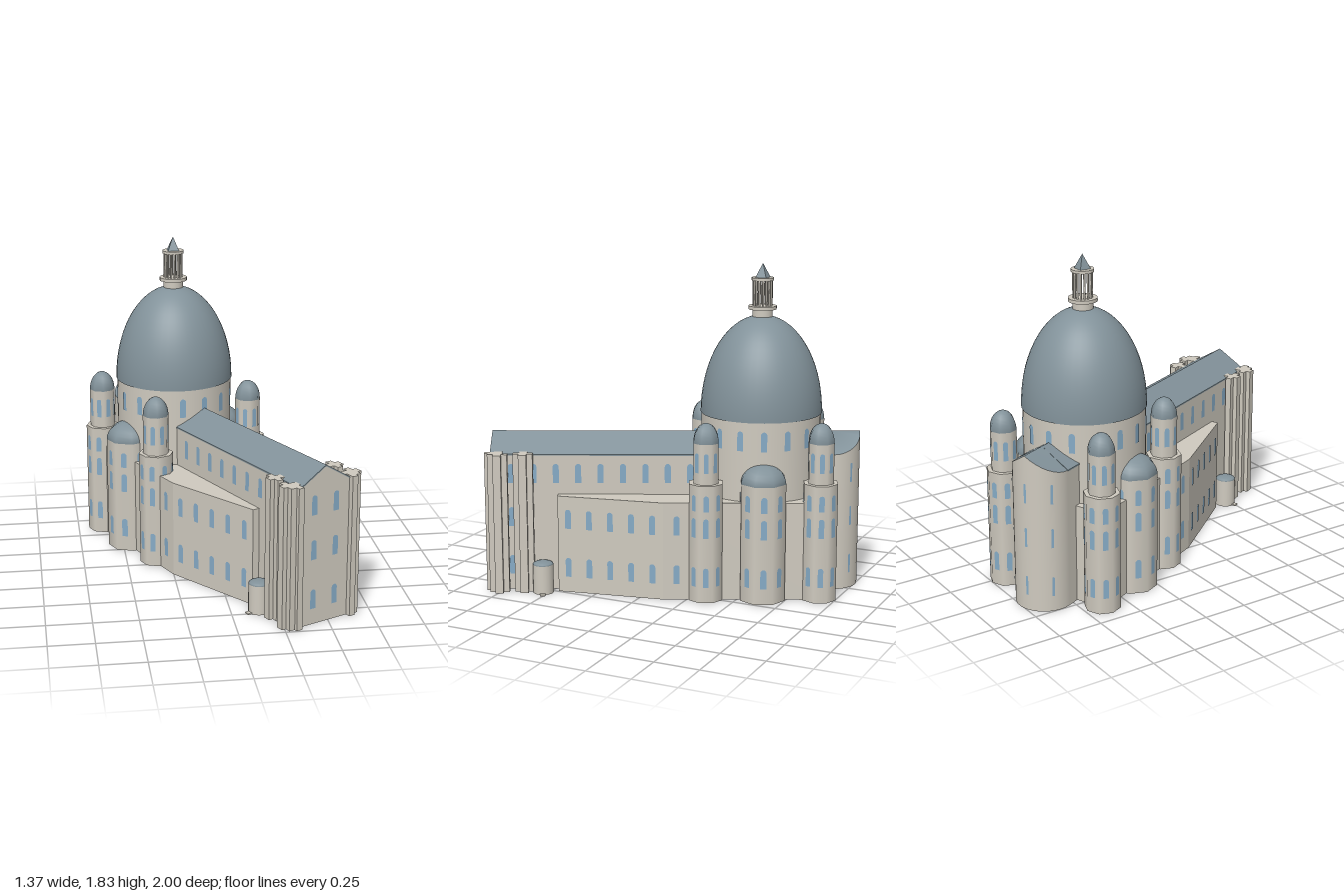
import * as THREE from 'three';

const stone = new THREE.MeshStandardMaterial({ color: 0xcfcabf });
const roof = new THREE.MeshStandardMaterial({ color: 0x82929a });
const glass = new THREE.MeshStandardMaterial({ color: 0x86abc6 });

const EAVE = 0.783, RIDGE = 0.885, HALF = 0.16, FRONT = 1.515, BACK = -0.4;

export function createModel() {
  const model = new THREE.Group();
  // Building frame: dome at the origin, nave along local +z, turned on the plot
  const church = new THREE.Group();
  church.name = 'church';
  church.position.set(-0.17, 0, -0.485);
  church.rotation.y = 0.436;
  model.add(church);

  function add(name, geo, mat, x = 0, y = 0, z = 0, parent = church) {
    const mesh = new THREE.Mesh(geo, mat);
    mesh.name = name;
    mesh.position.set(x, y, z);
    parent.add(mesh);
    return mesh;
  }
  // Cylinder from y0 to y1
  function column(name, r, y0, y1, sides, x = 0, z = 0, parent = church) {
    const geo = new THREE.CylinderGeometry(r, r, y1 - y0, sides);
    if (sides === 8) geo.rotateY(Math.PI / 8);
    return add(name, geo, stone, x, (y0 + y1) / 2, z, parent);
  }
  // Half ellipsoid standing on y
  function cupola(name, r, h, y, sides, rings, x = 0, z = 0, parent = church) {
    const geo = new THREE.SphereGeometry(r, sides, rings, 0, Math.PI * 2, 0, Math.PI / 2);
    geo.scale(1, h / r, 1);
    if (sides === 8) geo.rotateY(Math.PI / 8);
    return add(name, geo, roof, x, y, z, parent);
  }
  // Round-headed window with its sill at y, facing angle a (0 = local +z)
  function windowAt(x, y, z, a, h = 0.11, w = 0.034, parent = church) {
    const s = new THREE.Shape();
    s.moveTo(-w / 2, 0).lineTo(w / 2, 0).lineTo(w / 2, h - w / 2);
    s.absarc(0, h - w / 2, w / 2, 0, Math.PI, false);
    s.closePath();
    const m = add('window', new THREE.ShapeGeometry(s, 5), glass,
      x + Math.sin(a) * 0.003, y, z + Math.cos(a) * 0.003, parent);
    m.rotation.y = a;
  }
  // Windows on every face of a polygonal tower
  function ringWindows(n, apothem, y, h, w, parent) {
    for (let i = 0; i < n; i++) {
      const a = (i / n) * Math.PI * 2;
      windowAt(Math.sin(a) * apothem, y, Math.cos(a) * apothem, a, h, w, parent);
    }
  }
  function polygon(points) {
    return new THREE.Shape(points.map(([x, y]) => new THREE.Vector2(x, y)));
  }

  // Nave with gabled roof
  const naveBody = new THREE.ExtrudeGeometry(
    polygon([[-HALF, 0], [HALF, 0], [HALF, EAVE], [0, RIDGE - 0.004], [-HALF, EAVE]]),
    { depth: FRONT - BACK, bevelEnabled: false });
  add('nave', naveBody, stone, 0, 0, BACK);
  const naveRoof = new THREE.ExtrudeGeometry(
    polygon([[-HALF - 0.003, EAVE - 0.006], [0, RIDGE - 0.008], [HALF + 0.003, EAVE - 0.006],
      [HALF + 0.003, EAVE + 0.002], [0, RIDGE], [-HALF - 0.003, EAVE + 0.002]]),
    { depth: FRONT - BACK + 0.002, bevelEnabled: false });
  add('naveRoof', naveRoof, roof, 0, 0, BACK);

  // Round apse whose top follows the gable
  const apse = new THREE.CylinderGeometry(HALF, HALF, 1, 32);
  apse.translate(0, 0.5, 0);
  const p = apse.attributes.position;
  for (let i = 0; i < p.count; i++) {
    if (p.getY(i) > 0.5) p.setY(i, RIDGE - (Math.abs(p.getX(i)) / HALF) * (RIDGE - EAVE));
  }
  const capNormals = apse.attributes.normal;
  const capStart = apse.groups[1].start, capCount = apse.groups[1].count;
  const slope = new THREE.Vector3(RIDGE - EAVE, HALF, 0).normalize();
  for (let i = capStart; i < capStart + capCount; i++) {
    const v = apse.index.getX(i);
    const side = Math.abs(p.getX(v)) < 1e-4 ? 0 : Math.sign(p.getX(v));
    capNormals.setXYZ(v, slope.x * side, slope.y, 0);
  }
  add('apse', apse, [stone, roof, stone], 0, 0, BACK);
  for (const a of [-0.9, 0, 0.9]) {
    for (const y of [0.09, 0.37, 0.62]) {
      windowAt(Math.sin(a) * HALF, y, BACK - Math.cos(a) * HALF, Math.PI - a, 0.11, 0.014);
    }
  }

  // Low crossing and tapering aisles
  const aislePlan = polygon([[-0.345, 0.33], [-0.345, -0.55], [-0.2, -1.14],
    [0.2, -1.14], [0.345, -0.55], [0.345, 0.33]]);
  const aisles = new THREE.ExtrudeGeometry(aislePlan, { depth: 0.555, bevelEnabled: false });
  aisles.rotateX(-Math.PI / 2);
  add('aisles', aisles, stone);

  // Everything mirrored on the two long sides
  for (const s of [-1, 1]) {
    const sideAngle = s * Math.PI / 2;
    // Aisle and clerestory windows
    const taper = s * (Math.PI / 2 - Math.atan2(0.145, 0.59));
    for (const y of [0.09, 0.37]) {
      for (let i = 0; i < 5; i++) {
        const t = 0.1 + i * 0.2;
        windowAt(s * (0.345 - 0.145 * t), y, 0.55 + 0.59 * t, taper);
      }
      windowAt(s * 0.345, y, 0.475, sideAngle);
    }
    for (let i = 0; i < 9; i++) windowAt(s * HALF, 0.62, 0.4 + i * 0.125, sideAngle);
    for (const y of [0.09, 0.37]) windowAt(s * HALF, y, 1.4, sideAngle);
    // Facade windows
    for (const y of [0.09, 0.37, 0.62]) windowAt(s * 0.07, y, FRONT, 0);

    // Cross-shaped buttresses near the facade
    for (const [z, out] of [[1.47, 0.25], [1.33, 0.237]]) {
      const h = 0.797;
      add('buttress', new THREE.BoxGeometry(out - 0.14, h, 0.045), stone, s * (out + 0.14) / 2, h / 2, z);
      add('buttressWing', new THREE.BoxGeometry(0.035, h, 0.11), stone, s * (out - 0.043), h / 2, z);
    }
    add('facadePier', new THREE.BoxGeometry(0.035, 0.797, 0.1), stone, s * 0.173, 0.3985, 1.495);

    // Small round porch with doorstep
    column('porch', 0.058, 0, 0.165, 20, s * 0.215, 1.225);
    cupola('porchRoof', 0.058, 0.018, 0.165, 20, 4, s * 0.215, 1.225);
    add('porchStep', new THREE.BoxGeometry(0.03, 0.008, 0.03), stone, s * 0.279, 0.004, 1.225);

    // Side chapel with half-round roof
    const chapel = new THREE.Group();
    chapel.name = 'sideChapel';
    chapel.position.set(s * 0.312, 0, 0);
    church.add(chapel);
    column('chapelWall', 0.133, 0, 0.665, 8, 0, 0, chapel);
    cupola('chapelRoof', 0.133, 0.105, 0.665, 8, 8, 0, 0, chapel);
    for (const y of [0.09, 0.37, 0.52]) ringWindows(8, 0.123, y, y > 0.5 ? 0.09 : 0.11, 0.034, chapel);

    // Corner towers
    for (const e of [-1, 1]) {
      const tower = new THREE.Group();
      tower.name = 'cornerTower';
      tower.position.set(s * 0.315, 0, e * 0.315);
      church.add(tower);
      column('towerBase', 0.099, 0, 0.665, 8, 0, 0, tower);
      column('towerTop', 0.074, 0.665, 0.89, 8, 0, 0, tower);
      cupola('towerDome', 0.074, 0.107, 0.89, 8, 8, 0, 0, tower);
      const base = 0.099 * Math.cos(Math.PI / 8), top = 0.074 * Math.cos(Math.PI / 8);
      for (const y of [0.09, 0.37, 0.52]) ringWindows(8, base, y, y > 0.5 ? 0.09 : 0.11, 0.03, tower);
      ringWindows(8, top, 0.73, 0.11, 0.026, tower);
    }
  }

  // Drum and great dome
  column('drum', 0.335, 0.5, 1.0, 48);
  ringWindows(16, 0.335, 0.84, 0.11, 0.034, church);
  cupola('greatDome', 0.341, 0.545, 1.0, 48, 16);
  const domeUnderside = add('domeUnderside', new THREE.CircleGeometry(0.341, 48), stone, 0, 1.0, 0);
  domeUnderside.rotation.x = Math.PI / 2;

  // Lantern
  column('lanternBase', 0.056, 1.51, 1.58, 24);
  column('lanternGallery', 0.079, 1.578, 1.597, 24);
  for (let i = 0; i < 16; i++) {
    const a = (i / 16) * Math.PI * 2;
    column('lanternColumn', 0.006, 1.597, 1.742, 6, Math.sin(a) * 0.05, Math.cos(a) * 0.05);
  }
  column('lanternCornice', 0.062, 1.738, 1.754, 24);
  const spire = new THREE.ConeGeometry(0.046, 0.08, 4, 1).toNonIndexed();
  spire.computeVertexNormals();
  add('spire', spire, roof, 0, 1.793, 0).rotation.y = Math.PI / 4 - 0.436;

  return model;
}
